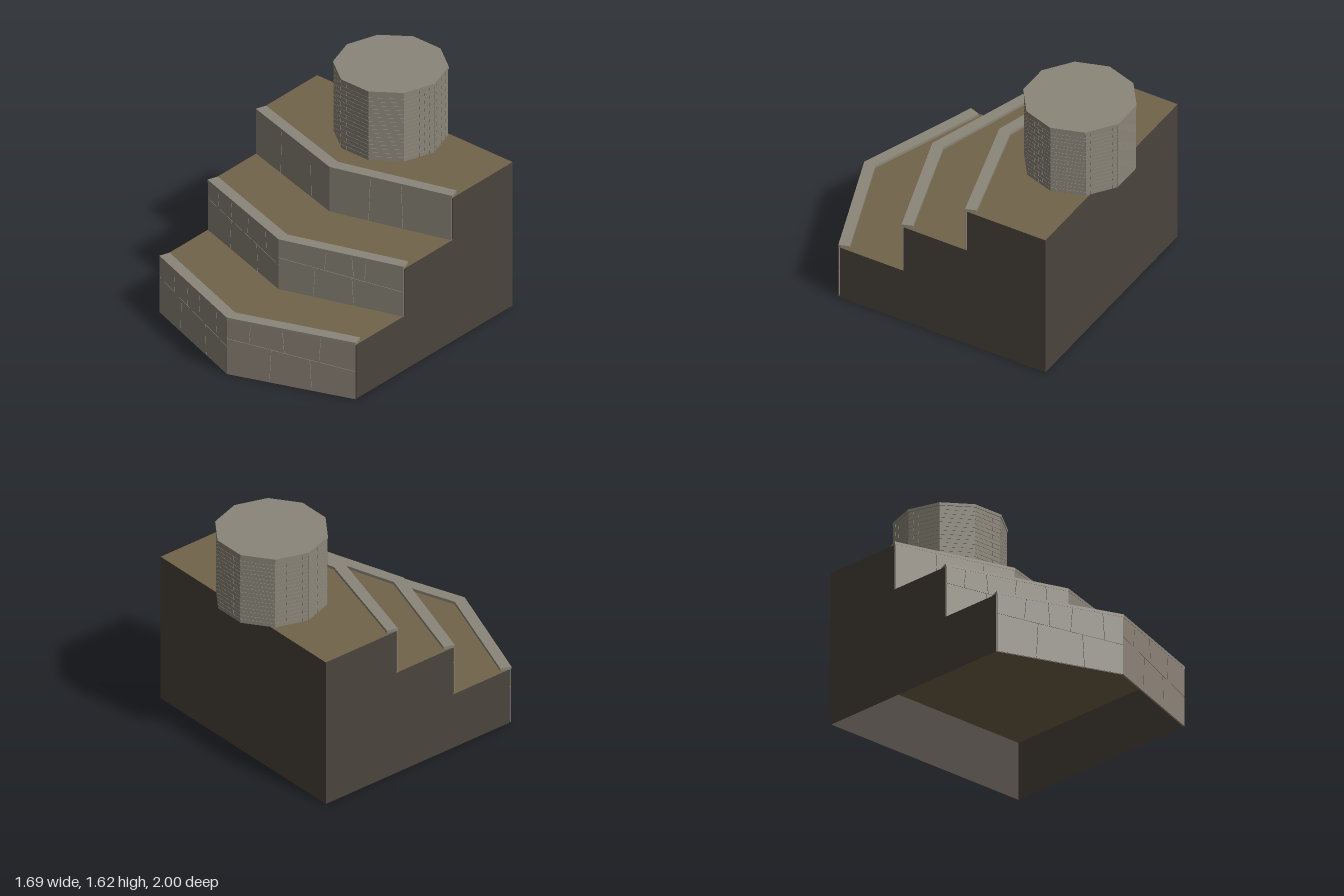
import * as THREE from 'three';
import { mergeGeometries } from 'three/addons/utils/BufferGeometryUtils.js';

const mat = (name, color, side = THREE.FrontSide) =>
  Object.assign(new THREE.MeshStandardMaterial({ color, side }), { name });

const W = 0.842;      // half width of the terraces
const BACK = -0.88;   // rear wall
const PROUD = 0.004;  // how far facing stones stand out
const GAP = 0.0015;   // half width of a joint

// Each tier: heights, front z at the centre and at the sides, course line, vertical joints
const TIERS = [
  { y0: 0, y1: 0.41, zc: 0.995, zs: 0.69, course: [0.27, 0.21],
    right: [[-0.575, -0.265], [-0.655, -0.495, -0.345, -0.13]],
    left: [[0.285, 0.55], [0.15, 0.37, 0.61]] },
  { y0: 0.41, y1: 0.77, zc: 0.478, zs: 0.21, course: [0.65, 0.595],
    right: [[-0.57, -0.255], [-0.715, -0.56, -0.365, -0.15]],
    left: [[0.24, 0.5], [0.315, 0.5, 0.585]] },
  { y0: 0.77, y1: 1.09, zc: -0.03, zs: -0.272, course: null,
    right: [[-0.555, -0.215]], left: [[0.275, 0.5]] },
];

// Vertical strip along a plan polyline of [x, z], flat shaded
function wallStrip(points, y0, y1) {
  const p = [];
  for (let i = 0; i < points.length - 1; i++) {
    const [ax, az] = points[i], [bx, bz] = points[i + 1];
    p.push(ax, y0, az, bx, y0, bz, bx, y1, bz, ax, y0, az, bx, y1, bz, ax, y1, az);
  }
  const g = new THREE.BufferGeometry();
  g.setAttribute('position', new THREE.Float32BufferAttribute(p, 3));
  g.computeVertexNormals();
  return g;
}

const planShape = (pts) => new THREE.Shape(pts.map(([x, z]) => new THREE.Vector2(x, -z)));

// Facing stones of one half of a tier, cut by a sloping course line and leaning joints
function facing(tier, xa, xb, joints) {
  const { y0, y1, zc, zs, course } = tier;
  const line = (x) => course[0] + (course[1] - course[0]) * (x - xa) / (xb - xa);
  const stones = [];
  joints.forEach((cuts, row) => {
    const lower = (x) => (row === 0 ? y0 : line(x) + GAP);
    const upper = (x) => (course && row === 0 ? line(x) - GAP : y1);
    const xs = [xa, ...cuts, xb];
    for (let i = 0; i < xs.length - 1; i++) {
      const lean = (k) => (k === 0 || k === xs.length - 1 ? 0 : (k % 2 ? 0.006 : -0.006));
      const l = xs[i] + GAP * (i > 0), r = xs[i + 1] - GAP * (i < xs.length - 2);
      const s = new THREE.Shape([
        [l - lean(i), lower(l)], [r - lean(i + 1), lower(r)],
        [r + lean(i + 1), upper(r)], [l + lean(i), upper(l)],
      ].map(([x, y]) => new THREE.Vector2(x, y)));
      stones.push(new THREE.ExtrudeGeometry(s, { depth: PROUD, bevelEnabled: false }));
    }
  });
  const g = mergeGeometries(stones);
  // shear the flat facing onto the angled wall
  const pos = g.attributes.position;
  for (let i = 0; i < pos.count; i++) {
    pos.setZ(i, pos.getZ(i) - PROUD + zc + (zs - zc) * Math.abs(pos.getX(i)) / W);
  }
  g.computeVertexNormals();
  return g;
}

export function createModel() {
  const stone = mat('stone', 0x8b8679);
  const warmStone = mat('warm stone', 0x8d8278);
  const soil = mat('soil', 0x72644a, THREE.DoubleSide);
  const earth = mat('dark earth', 0x4b443d, THREE.DoubleSide);

  const model = new THREE.Group();
  model.name = 'terracedTower';
  const add = (parent, name, geometry, material) => {
    const m = new THREE.Mesh(geometry, material);
    m.name = name;
    parent.add(m);
    return m;
  };

  // Terraces
  TIERS.forEach((t, i) => {
    const g = new THREE.Group();
    g.name = `terrace${i + 1}`;
    model.add(g);
    const { y0, y1, zc, zs } = t;
    const front = (d) => [[-W, zs - d], [0, zc - d], [W, zs - d]];

    add(g, 'earthSides', wallStrip(
      [...front(0.012), [W, BACK], [-W, BACK], [-W, zs - 0.012]], y0, y1), earth);
    add(g, 'wallBacking', wallStrip(front(PROUD), y0, y1), stone);
    add(g, 'rightFacingStones', facing(t, -W, 0, t.right), stone);
    add(g, 'leftFacingStones', facing(t, 0, W, t.left), i === 0 ? warmStone : stone);

    const ground = new THREE.ShapeGeometry(planShape([...front(0.006), [W, BACK], [-W, BACK]]));
    add(g, 'soil', ground.rotateX(-Math.PI / 2), soil).position.y = y1;

    // coping along the front edge, ends cut square to the wall
    const coping = new THREE.ExtrudeGeometry(planShape([
      [-0.845, zs], [0, zc + 0.002], [0.845, zs],
      [0.82, zs - 0.073], [0, zc - 0.083], [-0.82, zs - 0.073],
    ]), { depth: 0.02, bevelEnabled: false });
    add(g, 'coping', coping.rotateX(-Math.PI / 2), stone).position.y = y1;
  });

  // Ten-sided tower
  const tower = new THREE.Group();
  tower.name = 'tower';
  tower.position.set(0, 1.09, -0.64);
  model.add(tower);
  const H = 0.505, R = 0.375, SIDES = 10;
  const prism = (r, h) => new THREE.CylinderGeometry(r, r, h, SIDES)
    .rotateY(Math.PI / SIDES).translate(0, h / 2, 0).toNonIndexed();
  const flat = (g) => { g.computeVertexNormals(); return g; };
  add(tower, 'towerCore', flat(prism(R - 0.003, H)), stone);
  add(tower, 'towerLid', flat(prism(R + 0.004, 0.02)), stone).position.y = H;

  // thin bricks in staggered courses on every side
  const bricks = [];
  const side = 2 * R * Math.sin(Math.PI / SIDES);
  const apothem = R * Math.cos(Math.PI / SIDES);
  const rows = 17, rowH = H / rows;
  for (let f = 0; f < SIDES; f++) {
    for (let row = 0; row < rows; row++) {
      const cuts = row % 2 ? [0, 0.33, 0.67, 1] : [0, 0.17, 0.5, 0.83, 1];
      for (let k = 0; k < cuts.length - 1; k++) {
        const w = (cuts[k + 1] - cuts[k]) * side;
        const mid = ((cuts[k] + cuts[k + 1]) / 2 - 0.5) * side;
        bricks.push(new THREE.BoxGeometry(w - 0.002, rowH - 0.002, 0.004)
          .translate(mid, (row + 0.5) * rowH, apothem - 0.002)
          .rotateY((f * 2 * Math.PI) / SIDES));
      }
    }
  }
  add(tower, 'towerBricks', mergeGeometries(bricks), stone);

  return model;
}
